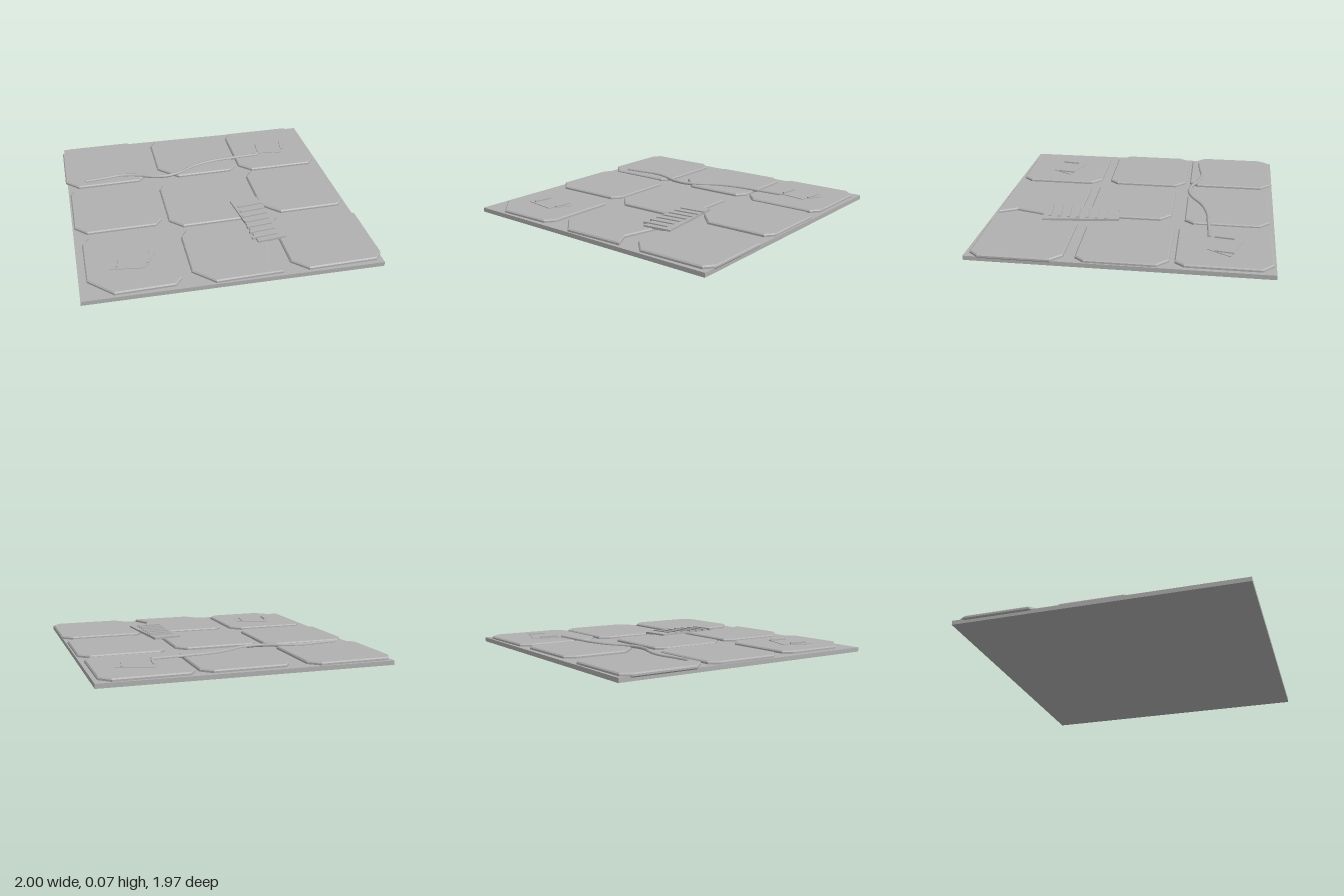
import * as THREE from 'three';

const stone = new THREE.MeshStandardMaterial({ color: 0xb0b0b0 });
stone.name = 'greyStone';

function add(parent, name, geometry, x = 0, y = 0, z = 0, turn = 0) {
  const mesh = new THREE.Mesh(geometry, stone);
  mesh.name = name;
  mesh.position.set(x, y, z);
  mesh.rotation.y = turn;
  parent.add(mesh);
  return mesh;
}

// Flat plate from a floor outline of [x, z] points, with optional chamfered edges
function plate(outline, bottom, top, chamfer = 0) {
  const shape = new THREE.Shape(outline.map(([x, z]) => new THREE.Vector2(x, -z)));
  const geometry = new THREE.ExtrudeGeometry(shape, {
    depth: top - bottom - 2 * chamfer,
    bevelEnabled: chamfer > 0,
    bevelThickness: chamfer,
    bevelSize: chamfer,
    bevelOffset: -chamfer,
    bevelSegments: 1,
  });
  geometry.rotateX(-Math.PI / 2);
  geometry.translate(0, bottom + chamfer, 0);
  return geometry;
}

// Paving slab outline: left, right, back, front edges and the front-left corner cut
function slabOutline([l, r, b, f, cut], broken) {
  const right = broken
    ? [[r, b + 0.08], [r, b + 0.16], [r - 0.08, f - 0.14], [r - 0.015, f - 0.015]]
    : [[r, b + 0.07], [r, f - 0.075], [r - 0.052, f - 0.012]];
  return [[l + 0.046, b + 0.01], [r - 0.075, b], ...right,
    [l + cut, f], [l, f - cut], [l, b + 0.08]];
}

export function createModel() {
  const model = new THREE.Group();
  model.name = 'pavedFloorTile';

  add(model, 'base', new THREE.BoxGeometry(1.974, 0.03, 1.974), 0, 0.015, 0);

  // Nine paving slabs, the front middle one broken on its right side
  const slabs = [
    [-1.0, -0.393, -0.973, -0.343, 0.095],
    [-0.285, 0.322, -0.956, -0.358, 0.145],
    [0.35, 0.958, -0.973, -0.343, 0.09],
    [-0.975, -0.36, -0.32, 0.28, 0.085],
    [-0.317, 0.285, -0.27, 0.324, 0.09],
    [0.367, 0.977, -0.32, 0.286, 0.122],
    [-0.937, -0.338, 0.338, 0.966, 0.16],
    [-0.27, 0.322, 0.376, 0.976, 0.135],
    [0.38, 0.995, 0.35, 0.966, 0.1],
  ];
  slabs.forEach((s, i) =>
    add(model, 'slab' + (i + 1), plate(slabOutline(s, i === 7), 0.022, 0.05, 0.008)));

  // Cable snaking over the back slabs
  const path = [[-0.85, -0.405], [-0.72, -0.42], [-0.58, -0.44], [-0.45, -0.418],
    [-0.34, -0.375], [-0.235, -0.364], [-0.13, -0.395], [0.005, -0.473],
    [0.165, -0.522], [0.35, -0.54], [0.545, -0.555]];
  const curve = new THREE.CatmullRomCurve3(path.map(([x, z]) => new THREE.Vector3(x, 0.053, z)));
  add(model, 'cable', new THREE.TubeGeometry(curve, 60, 0.012, 8, false));
  [[path[0], -1], [path[path.length - 1], 1]].forEach(([[x, z], side]) => {
    const cap = add(model, 'cableEnd', new THREE.CircleGeometry(0.012, 8), x, 0.053, z);
    cap.rotation.y = side * Math.PI / 2 + 0.1;
  });

  // Tilted grate with seven ribs
  const turn = 0.13;
  const grate = new THREE.Group();
  grate.name = 'grate';
  model.add(grate);
  add(grate, 'gratePlate', new THREE.BoxGeometry(0.204, 0.016, 0.535), 0.293, 0.054, 0.358, turn);
  for (let i = 0; i < 7; i++) {
    add(grate, 'grateRib', new THREE.BoxGeometry(0.183, 0.016, 0.022),
      0.285, 0.062, 0.184 + i * 0.0657, turn);
  }

  // Two thin loose plates, each with a pair of low bars
  [[-0.625, 0.645], [0.662, -0.665]].forEach(([x, z]) => {
    const scrap = new THREE.Group();
    scrap.name = 'loosePlate';
    scrap.position.set(x, 0, z);
    model.add(scrap);
    add(scrap, 'thinPlate',
      plate([[-0.09, -0.118], [0.155, -0.038], [0.07, 0.112], [-0.157, 0.086]], 0.044, 0.054));
    add(scrap, 'leftBar', new THREE.BoxGeometry(0.012, 0.02, 0.13), -0.102, 0.055, 0.01, -0.14);
    add(scrap, 'rightBar', new THREE.BoxGeometry(0.012, 0.018, 0.125), 0.1, 0.053, 0.004, -0.16);
  });

  return model;
}
